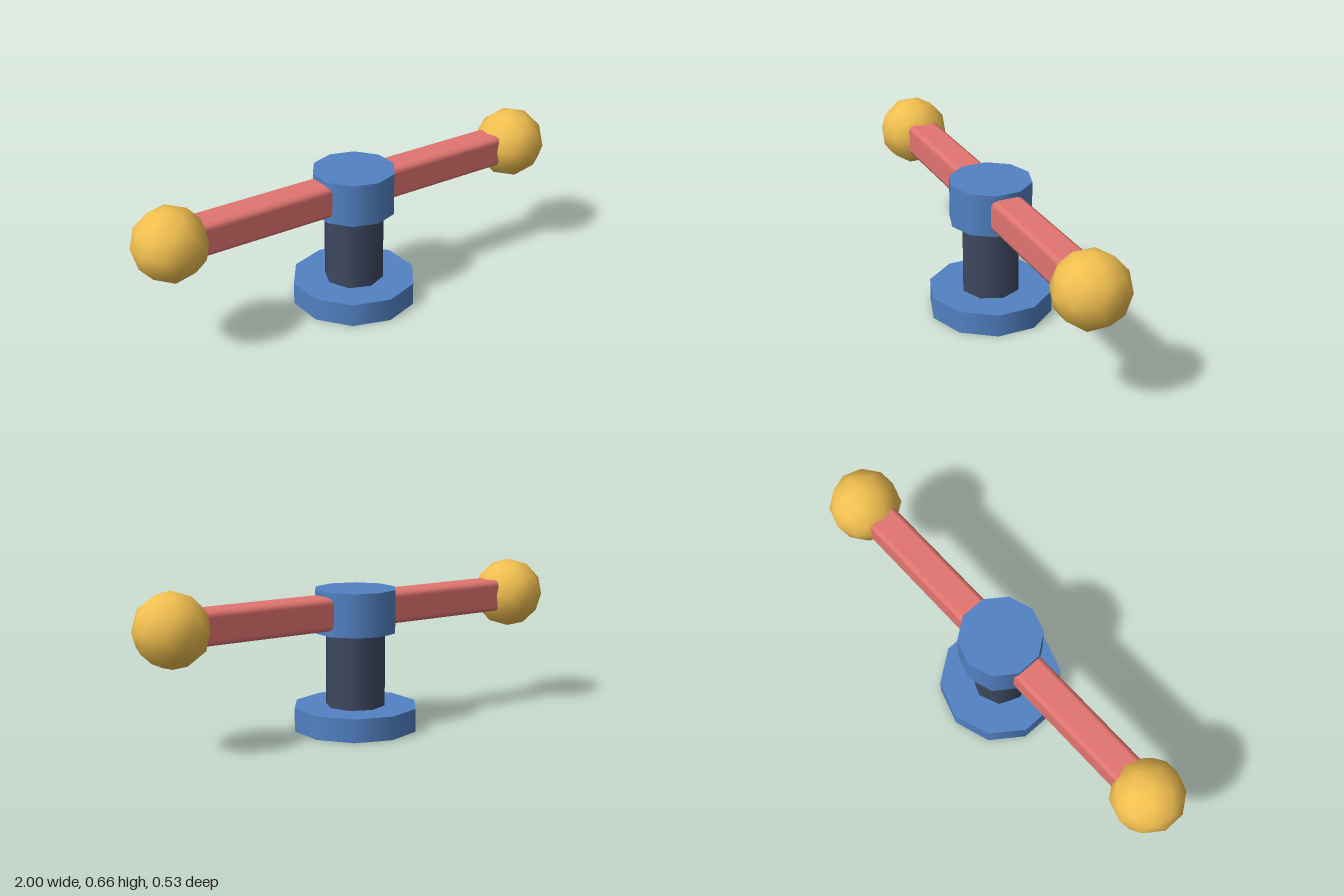
import * as THREE from 'three';
import { RoundedBoxGeometry } from 'three/addons/geometries/RoundedBoxGeometry.js';

const paint = (color) => new THREE.MeshStandardMaterial({ color });

export function createModel() {
  const model = new THREE.Group();
  const blue = paint(0x5282c4);
  const slate = paint(0x3e4860);
  const red = paint(0xe27570);
  const gold = paint(0xf2c050);

  const add = (name, geometry, material, x, y) => {
    const mesh = new THREE.Mesh(geometry, material);
    mesh.name = name;
    mesh.position.set(x, y, 0);
    model.add(mesh);
  };
  // Upright faceted drum between two heights
  const drum = (name, radius, bottom, top, sides, material) =>
    add(name, new THREE.CylinderGeometry(radius, radius, top - bottom, sides), material, 0, (bottom + top) / 2);

  drum('base', 0.266, 0, 0.099, 10, blue);
  drum('column', 0.126, 0.09, 0.43, 8, slate);
  drum('hub', 0.175, 0.414, 0.596, 10, blue);

  // Arms and ball ends, level with the middle of the hub
  const axis = 0.506;
  const armGeometry = new RoundedBoxGeometry(0.7, 0.139, 0.139, 1, 0.025);
  // Icosphere turned so that one corner points straight up
  const ballGeometry = new THREE.IcosahedronGeometry(0.153, 1);
  ballGeometry.rotateZ(-Math.atan(2 / (1 + Math.sqrt(5))));

  for (const [side, s] of [['left', 1], ['right', -1]]) {
    add(side + 'Arm', armGeometry, red, s * 0.46, axis);
    add(side + 'Ball', ballGeometry, gold, s * 0.854, axis);
  }
  return model;
}
